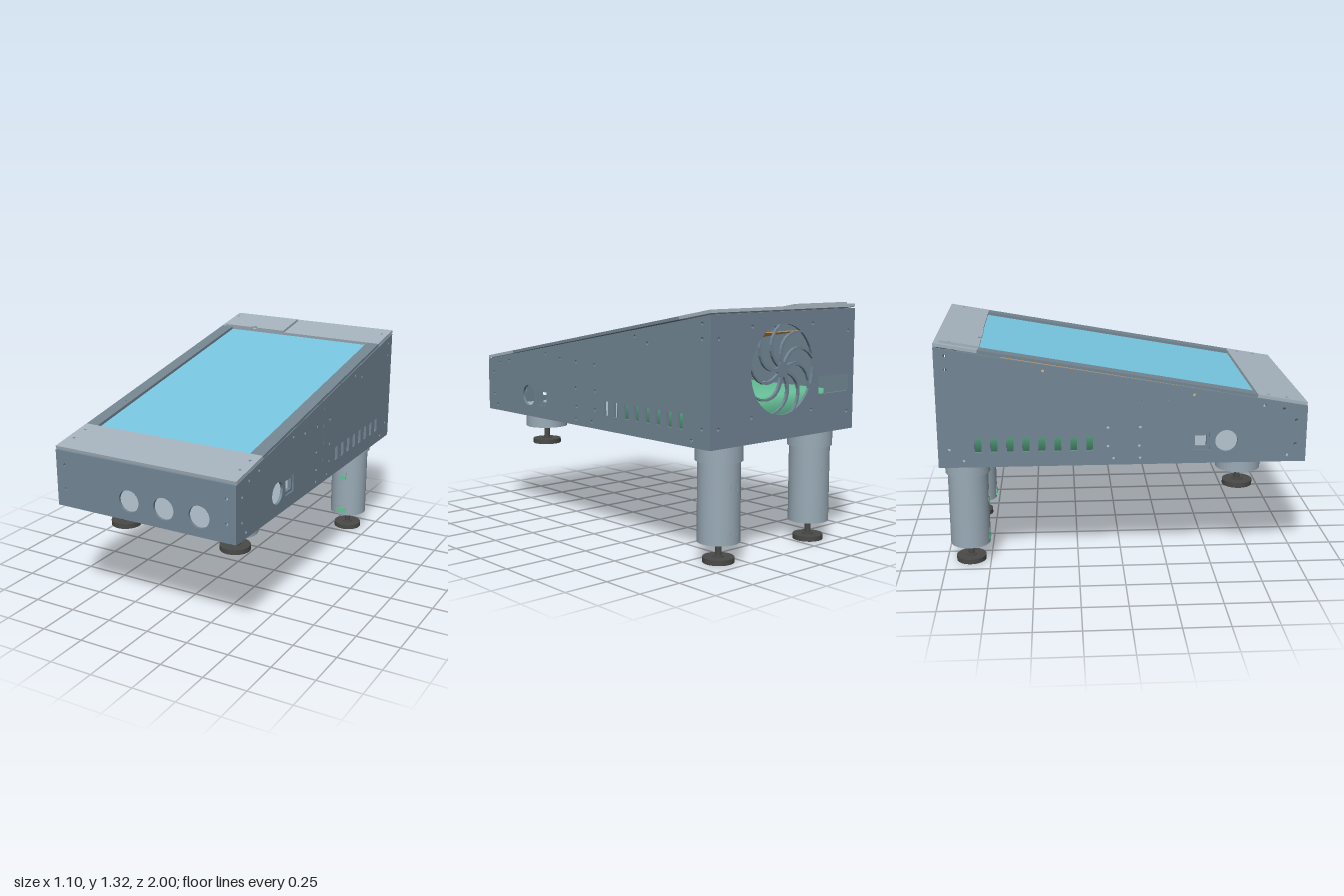
import * as THREE from 'three';
import { mergeVertices } from 'three/addons/utils/BufferGeometryUtils.js';

const mat = (name, color, side = THREE.FrontSide) => {
  const m = new THREE.MeshStandardMaterial({ color, side });
  m.name = name;
  return m;
};

export function createModel() {
  const steel = mat('steel blue', 0x728695);
  const rail = mat('rail grey', 0x748591);
  const panel = mat('panel grey', 0xa4b2bc);
  const legMat = mat('leg grey', 0x9aabb7);
  const glass = mat('screen blue', 0x77c5e0);
  const green = mat('inner green', 0x68c49a);
  const orange = mat('board orange', 0xd49f55, THREE.DoubleSide);
  const base = mat('underside grey', 0x7c8086);
  const dark = mat('rubber black', 0x4a4a48);

  const model = new THREE.Group();
  const add = (name, geo, m, x = 0, y = 0, z = 0, parent = model) => {
    const mesh = new THREE.Mesh(geo, m);
    mesh.name = name;
    mesh.position.set(x, y, z);
    parent.add(mesh);
    return mesh;
  };
  // box given by its limits
  const box = (name, m, [x0, x1], [y0, y1], [z0, z1], parent = model) =>
    add(name, new THREE.BoxGeometry(x1 - x0, y1 - y0, z1 - z0), m,
      (x0 + x1) / 2, (y0 + y1) / 2, (z0 + z1) / 2, parent);
  const cyl = (name, m, r, y0, y1, x, z, parent = model, n = 40) =>
    add(name, new THREE.CylinderGeometry(r, r, y1 - y0, n), m, x, (y0 + y1) / 2, z, parent);

  const poly = (pts) => new THREE.Shape(pts.map(([x, y]) => new THREE.Vector2(x, y)));
  const rect = (x, y, w, h) => poly([
    [x - w / 2, y - h / 2], [x + w / 2, y - h / 2], [x + w / 2, y + h / 2], [x - w / 2, y + h / 2]]);
  const disc = (x, y, r) => new THREE.Path().absarc(x, y, r, 0, Math.PI * 2);
  const sheet = (shape, holes, depth) => {
    shape.holes.push(...holes);
    return new THREE.ExtrudeGeometry(shape, { depth, bevelEnabled: false, curveSegments: 20 });
  };
  const T = 0.015;

  // side walls: vents, cable holes and screw holes, drawn in (-z, y)
  const screws = [[0.94, 0.86], [0.87, 0.925], [0.765, 0.945], [0.94, 0.725], [0.9, 0.66],
    [0.38, 1.01], [0.24, 0.99], [0.085, 0.985], [0.09, 0.835], [0.085, 0.73], [0.09, 0.66],
    [-0.055, 0.66], [-0.085, 0.98], [-0.085, 0.835], [-0.085, 0.73], [-0.43, 1.155],
    [-0.53, 1.125], [-0.865, 0.66], [-0.94, 1.245], [-0.94, 1.17], [-0.94, 0.725]];
  for (const s of [-1, 1]) {
    const holes = screws.map(([z, y]) => disc(-z, y, 0.009));
    holes.push(disc(-0.56, 0.75, 0.061), rect(-0.42, 0.75, 0.096, 0.096));
    for (let i = 0; i < 8; i++) holes.push(rect(0.185 + i * 0.0857, 0.748, 0.036, 0.08));
    const wall = sheet(poly([[-1, 0.625], [1, 0.625], [1, 1.29], [-1, 0.94]]), holes, T);
    wall.rotateY(Math.PI / 2);
    add('sideWall', wall, steel, s > 0 ? 0.55 - T : -0.55);

    // square socket frame, set back in the wall
    const socket = sheet(rect(-0.42, 0.75, 0.1, 0.1), [rect(-0.42, 0.75, 0.062, 0.062)], 0.02);
    socket.rotateY(Math.PI / 2);
    add('socketFrame', socket, steel, s > 0 ? 0.522 : -0.542);

    // seam between the two halves of the wall
    const seamX = [s * 0.55 - 0.0006, s * 0.55 + 0.0006];
    for (const [y0, y1, step] of [[0.665, 0.915, 0.912], [0.955, 1.11, 0.955]]) {
      box('wallSeam', steel, seamX, [y0, y1], [-0.002, 0.002]);
      box('seamStep', steel, seamX, [step, step + 0.003], [-0.025, -0.002]);
    }
  }

  // front wall with three button holes
  const frontHoles = [-0.088, 0.125, 0.337].map((x) => disc(x, 0.733, 0.061));
  for (const x of [-0.495, 0.495]) for (const y of [0.725, 0.86]) frontHoles.push(disc(x, y, 0.009));
  add('frontWall', sheet(rect(0, 0.7825, 1.07, 0.315), frontHoles, T), steel, 0, 0, 1 - T);

  // back wall with fan opening and connector slot
  const fanX = 0.03, fanY = 0.99, fanR = 0.237;
  const backHoles = [disc(fanX, fanY, fanR), rect(-0.38, 0.885, 0.25, 0.095)];
  for (const x of [-0.495, 0.495]) for (const y of [0.725, 1.17]) backHoles.push(disc(x, y, 0.009));
  for (const x of [-0.2, 0.26]) for (const y of [0.76, 1.22]) backHoles.push(disc(x, y, 0.009));
  add('backWall', sheet(rect(0, 0.9575, 1.07, 0.665), backHoles, T), steel, 0, 0, -1);

  // swirling fan guard
  const guard = new THREE.Group();
  guard.name = 'fanGuard';
  guard.position.set(fanX, fanY, -1);
  model.add(guard);
  const arm = [];
  for (const side of [-1, 1]) for (let i = 0; i <= 8; i++) {
    const t = side < 0 ? i / 8 : 1 - i / 8;
    const r = 0.03 + t * 0.212, a = 0.85 * t * t + side * 0.009 / r;
    arm.push([r * Math.cos(a), r * Math.sin(a)]);
  }
  const armGeo = sheet(poly(arm), [], T);
  for (let i = 0; i < 9; i++)
    add('guardArm', armGeo, steel, 0, 0, 0, guard).rotation.z = (i * Math.PI * 2) / 9;
  const hub = new THREE.CylinderGeometry(0.04, 0.04, T + 0.002, 24).rotateX(Math.PI / 2);
  add('guardHub', hub, steel, 0, 0, T / 2, guard);

  // floor: grey underside with a paler inner lining
  box('floor', base, [-0.535, 0.535], [0.626, 0.636], [-0.985, 0.985]);
  box('floorLining', panel, [-0.535, 0.535], [0.636, 0.642], [-0.985, 0.985]);
  box('floorSeam', base, [-0.535, 0.535], [0.6252, 0.6265], [-0.003, 0.003]);

  // soft-shaded inner unit
  const unit = new THREE.BoxGeometry(0.84, 0.2, 0.78);
  unit.deleteAttribute('normal');
  unit.deleteAttribute('uv');
  const softUnit = mergeVertices(unit);
  softUnit.computeVertexNormals();
  add('innerUnit', softUnit, green, 0, 0.748, -0.51);

  // sloping lid; local y = 0 is its top face
  const lid = new THREE.Group();
  lid.name = 'lid';
  lid.position.y = 1.1375;
  lid.rotation.x = Math.atan(0.1775);
  model.add(lid);
  const k = 1 / Math.cos(lid.rotation.x);
  const E = 0.998 * k, z0 = -0.77 * k, z1 = 0.725 * k;
  box('frontPanel', panel, [-0.55, 0.55], [-0.017, 0], [z1, E], lid);
  box('rearPanel', panel, [-0.55, 0.55], [-0.017, 0], [-E, z0], lid);
  for (const s of [-1, 1]) {
    const xs = s > 0 ? [0.475, 0.55] : [-0.55, -0.475];
    box('sideRail', rail, xs, [-0.017, -0.001], [z0, z1], lid);
    for (const z of [-0.92, -0.4, 0.4, 0.79, 0.89])
      cyl('lidScrew', steel, 0.008, -0.004, 0.0006, s * 0.51, z * k, lid, 12);
  }
  box('screen', glass, [-0.5, 0.5], [-0.027, -0.0225], [z0 - 0.02, z1 + 0.02], lid);
  box('screenBoard', orange, [-0.47, 0.47], [-0.104, -0.098], [-0.66, 0.74], lid);

  // access door with a finger notch, drawn in (x, -z)
  const door = new THREE.Shape();
  door.moveTo(-0.52, 0.775).lineTo(-0.33, 0.775);
  door.absarc(-0.31, 0.775, 0.02, Math.PI, 0, true);
  door.lineTo(-0.097, 0.775).lineTo(-0.097, 0.985).lineTo(-0.52, 0.985);
  const doorGeo = sheet(door, [disc(-0.508, 0.93, 0.008)], 0.014);
  doorGeo.rotateX(-Math.PI / 2);
  add('accessDoor', doorGeo, panel, 0, 0, 0, lid);

  // levelling foot: threaded rod and rubber disc
  const foot = (x, y, z, top) => {
    cyl('footDisc', dark, 0.084, y, y + 0.028, x, z);
    cyl('footCollar', dark, 0.03, y + 0.028, y + 0.034, x, z, model, 24);
    cyl('footRod', dark, 0.017, y + 0.03, top, x, z, model, 20);
  };

  for (const x of [-0.352, 0.352]) {
    // tall rear leg
    const rz = -0.863;
    cyl('legCollar', legMat, 0.125, 0.538, 0.626, x, rz);
    cyl('rearLeg', legMat, 0.113, 0.111, 0.54, x, rz);
    foot(x, 0, rz, 0.115);
    // clip nuts on the front, slits on front and back
    box('clipNut', green, [x - 0.024, x + 0.024], [0.36, 0.383], [rz + 0.1, rz + 0.1135]);
    box('clipNut', green, [x - 0.031, x + 0.031], [0.127, 0.158], [rz + 0.1, rz + 0.1135]);
    for (const s of [-1, 1]) for (const dx of [-0.024, 0.024]) for (const y of [0.178, 0.408]) {
      const zc = rz + s * 0.1105;
      box('legSlit', legMat, [x + dx - 0.002, x + dx + 0.002], [y - 0.02, y + 0.02], [zc - 0.001, zc + 0.001]);
    }

    // short front leg: collar with a ring of holes beneath
    const fz = 0.66, holes = [];
    for (let i = 0; i < 6; i++) {
      const a = (i * Math.PI) / 3;
      holes.push(disc(0.078 * Math.cos(a), 0.078 * Math.sin(a), 0.026));
    }
    const ring = new THREE.Shape().absarc(0, 0, 0.125, 0, Math.PI * 2);
    const ringGeo = sheet(ring, holes, 0.052);
    ringGeo.rotateX(-Math.PI / 2);
    add('frontLegRing', ringGeo, legMat, x, 0.538, fz);
    cyl('frontLegCap', legMat, 0.125, 0.59, 0.626, x, fz);
    foot(x, 0.43, fz, 0.545);
  }
  return model;
}
